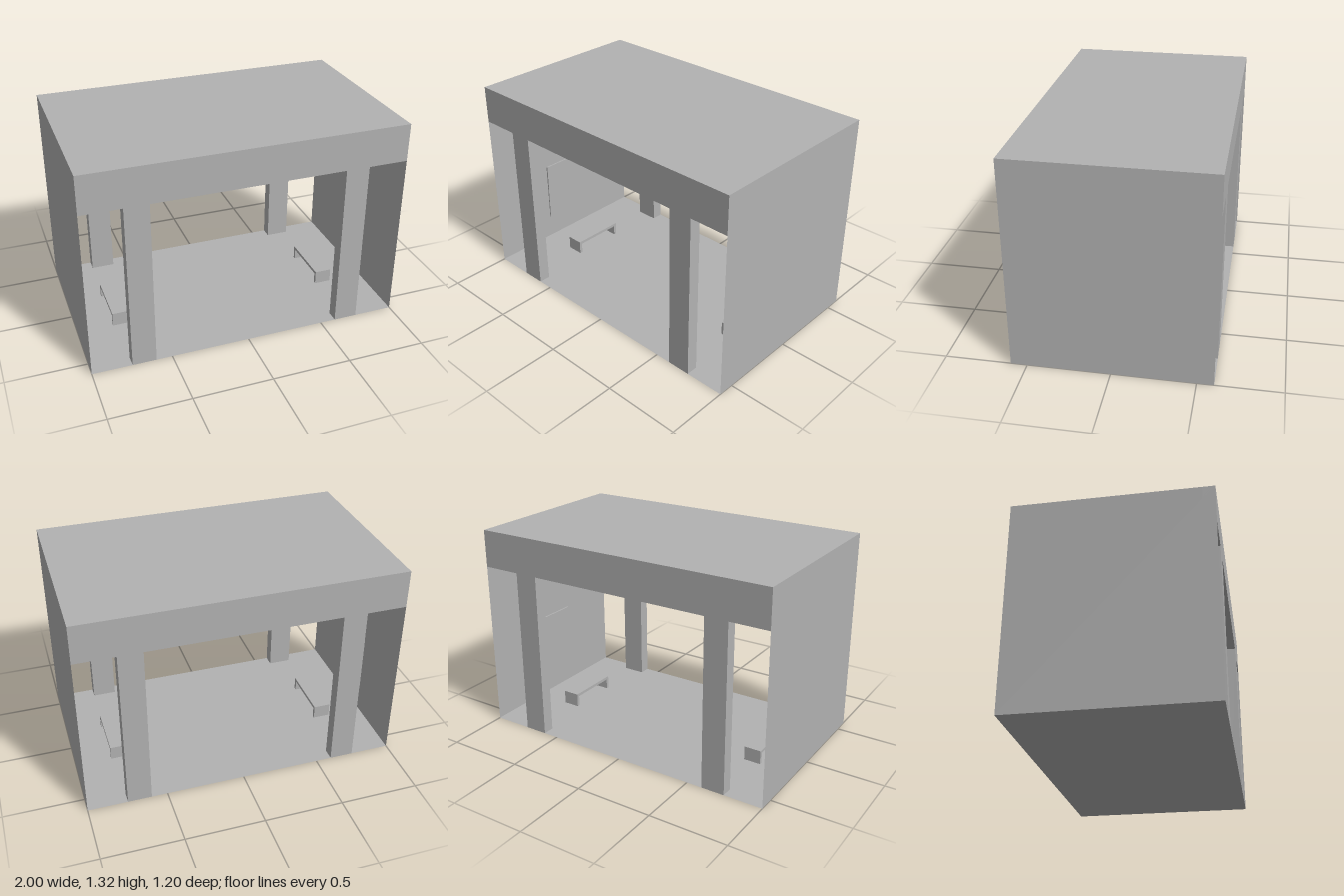
import * as THREE from 'three';

export function createModel() {
  const group = new THREE.Group();
  const stone = new THREE.MeshStandardMaterial({ color: 0xb2b2b2, side: THREE.DoubleSide });
  stone.name = 'plain grey';

  // Box given by its lower and upper limits on each axis
  function box(name, x0, x1, y0, y1, z0, z1) {
    const mesh = new THREE.Mesh(new THREE.BoxGeometry(x1 - x0, y1 - y0, z1 - z0), stone);
    mesh.position.set((x0 + x1) / 2, (y0 + y1) / 2, (z0 + z1) / 2);
    mesh.name = name;
    group.add(mesh);
  }
  // Box given by limits on x that are mirrored to the chosen side
  function sideBox(name, s, a, b, ...rest) {
    box(name, Math.min(s * a, s * b), Math.max(s * a, s * b), ...rest);
  }
  function sheet(name, w, h, place) {
    const mesh = new THREE.Mesh(new THREE.PlaneGeometry(w, h), stone);
    mesh.name = name;
    place(mesh);
    group.add(mesh);
  }

  const H = 1.32, LOW = 1.08, Z = 0.6, D = 0.075;

  // Thin shell: floor, roof and side walls
  sheet('floor', 2, 2 * Z, m => { m.rotation.x = -Math.PI / 2; });
  sheet('roof', 2, 2 * Z, m => { m.rotation.x = -Math.PI / 2; m.position.y = H; });
  for (const s of [-1, 1]) {
    sheet('sideWall', 2 * Z, H, m => { m.rotation.y = s * Math.PI / 2; m.position.set(s, H / 2, 0); });
  }

  // Front and back headers with their columns
  for (const s of [-1, 1]) {
    const z0 = s > 0 ? Z - D : -Z, z1 = z0 + D;
    box('header', -1, 1, LOW, H, z0, z1);
    for (const t of [-1, 1]) sideBox('column', t, 0.6, 0.75, 0, LOW, z0, z1);
  }

  // Ceiling grid between the two main beams
  for (const s of [-1, 1]) sideBox('mainBeam', s, 0.6, 0.75, LOW, H, -Z + D, Z - D);
  for (const z of [-0.3, 0, 0.3]) box('crossBeam', -0.6, 0.6, 1.2, H, z - 0.04, z + 0.04);
  for (const x of [-0.2, 0.2]) box('longBeam', x - 0.04, x + 0.04, 1.2, H, -Z + D, Z - D);

  for (const s of [-1, 1]) {
    // Bench with slab legs
    sideBox('benchSeat', s, 0.66, 0.77, 0.07, 0.09, -0.18, 0.18);
    for (const z of [-0.17, 0.17]) sideBox('benchLeg', s, 0.66, 0.77, 0, 0.07, z - 0.01, z + 0.01);
    // Wall board in two rows
    sideBox('boardLower', s, 0.992, 1, 0.16, 0.41, -0.16, 0.16);
    sideBox('boardUpper', s, 0.99, 1, 0.41, 0.57, -0.16, 0.16);
  }
  return group;
}
